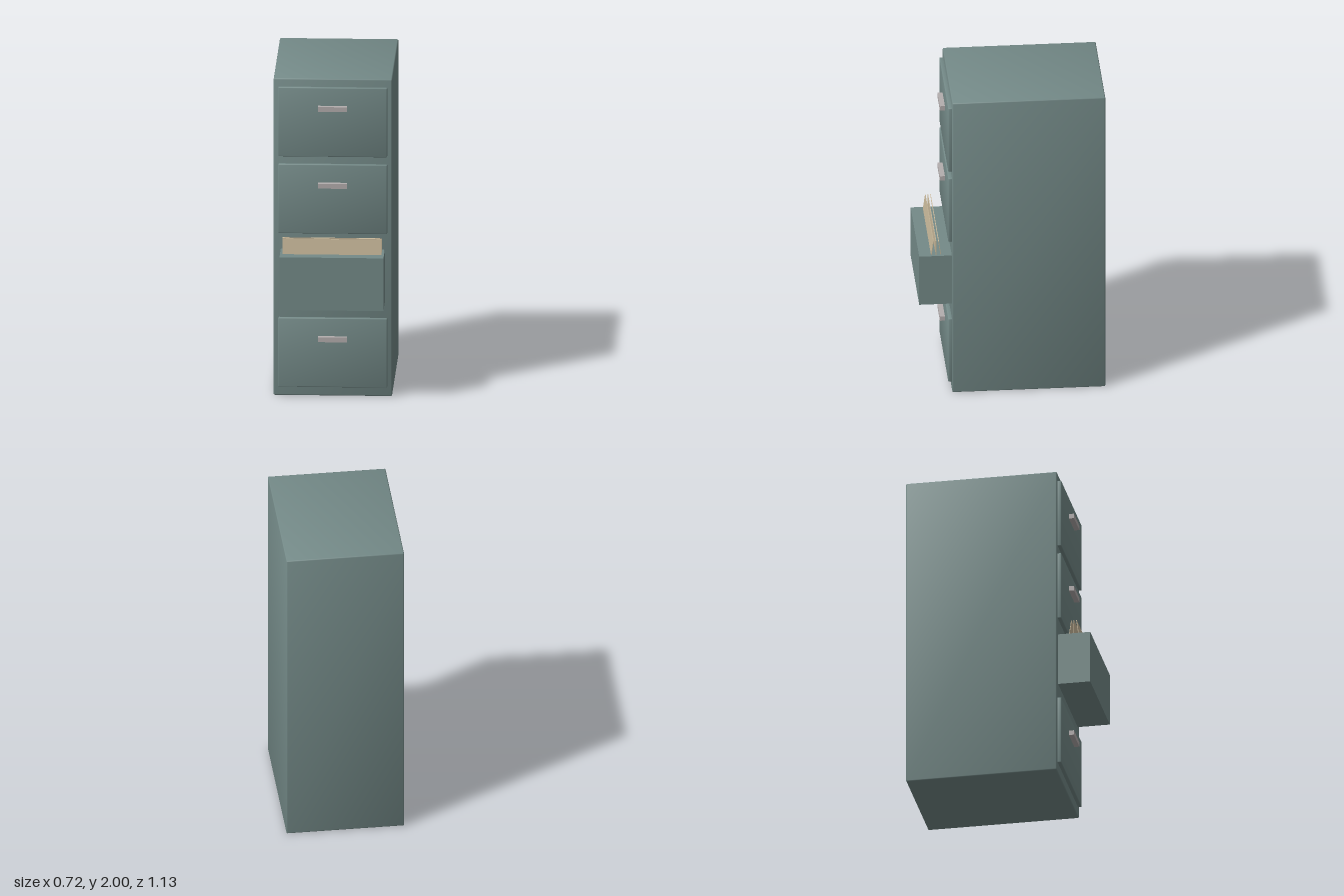
import * as THREE from 'three';
import { RoundedBoxGeometry } from 'three/addons/geometries/RoundedBoxGeometry.js';

const paint = new THREE.MeshStandardMaterial({ color: 0x748a88 });
paint.name = 'greyGreenPaint';
const metal = new THREE.MeshStandardMaterial({ color: 0xb3adad });
metal.name = 'handleMetal';
const card = new THREE.MeshStandardMaterial({ color: 0xc8b89a });
card.name = 'manilaCard';

// Box with a small chamfer whose corner normals lean outwards for a soft shade
function softBox(w, h, d, bevel) {
  const geo = new RoundedBoxGeometry(w, h, d, 1, bevel);
  const pos = geo.attributes.position, nor = geo.attributes.normal;
  const n = new THREE.Vector3(), lean = new THREE.Vector3();
  for (let i = 0; i < pos.count; i++) {
    lean.set(Math.sign(pos.getX(i)), Math.sign(pos.getY(i)), Math.sign(pos.getZ(i)));
    n.fromBufferAttribute(nor, i).addScaledVector(lean, 0.2).normalize();
    nor.setXYZ(i, n.x, n.y, n.z);
  }
  return geo;
}

function add(parent, name, geometry, material, x, y, z) {
  const mesh = new THREE.Mesh(geometry, material);
  mesh.name = name;
  mesh.position.set(x, y, z);
  parent.add(mesh);
  return mesh;
}

export function createModel() {
  const cabinet = new THREE.Group();
  cabinet.name = 'filingCabinet';

  // Cabinet body
  add(cabinet, 'body', softBox(0.722, 2, 0.935, 0.007), paint, 0, 1, -0.0995);

  // Closed drawers with bar handles
  for (const y of [1.732, 1.247, 0.277]) {
    const drawer = new THREE.Group();
    drawer.name = 'closedDrawer';
    drawer.position.y = y;
    add(drawer, 'drawerFront', softBox(0.664, 0.436, 0.03, 0.005), paint, 0, 0, 0.376);
    add(drawer, 'handle', new THREE.BoxGeometry(0.176, 0.03, 0.034), metal, 0, 0.09, 0.405);
    cabinet.add(drawer);
  }

  // Pulled-out drawer
  const open = new THREE.Group();
  open.name = 'openDrawer';
  add(open, 'drawerBox', new THREE.BoxGeometry(0.634, 0.333, 0.217), paint, 0, 0.759, 0.4585);

  // Folders leaning towards each other
  [-1, 0, 1].forEach((side) => {
    const folder = add(open, 'folder', new THREE.BoxGeometry(0.604, 0.22, 0.004), card,
      0, 0.91, 0.463 + side * 0.031);
    folder.rotation.x = -side * 0.14;
  });
  cabinet.add(open);

  return cabinet;
}
